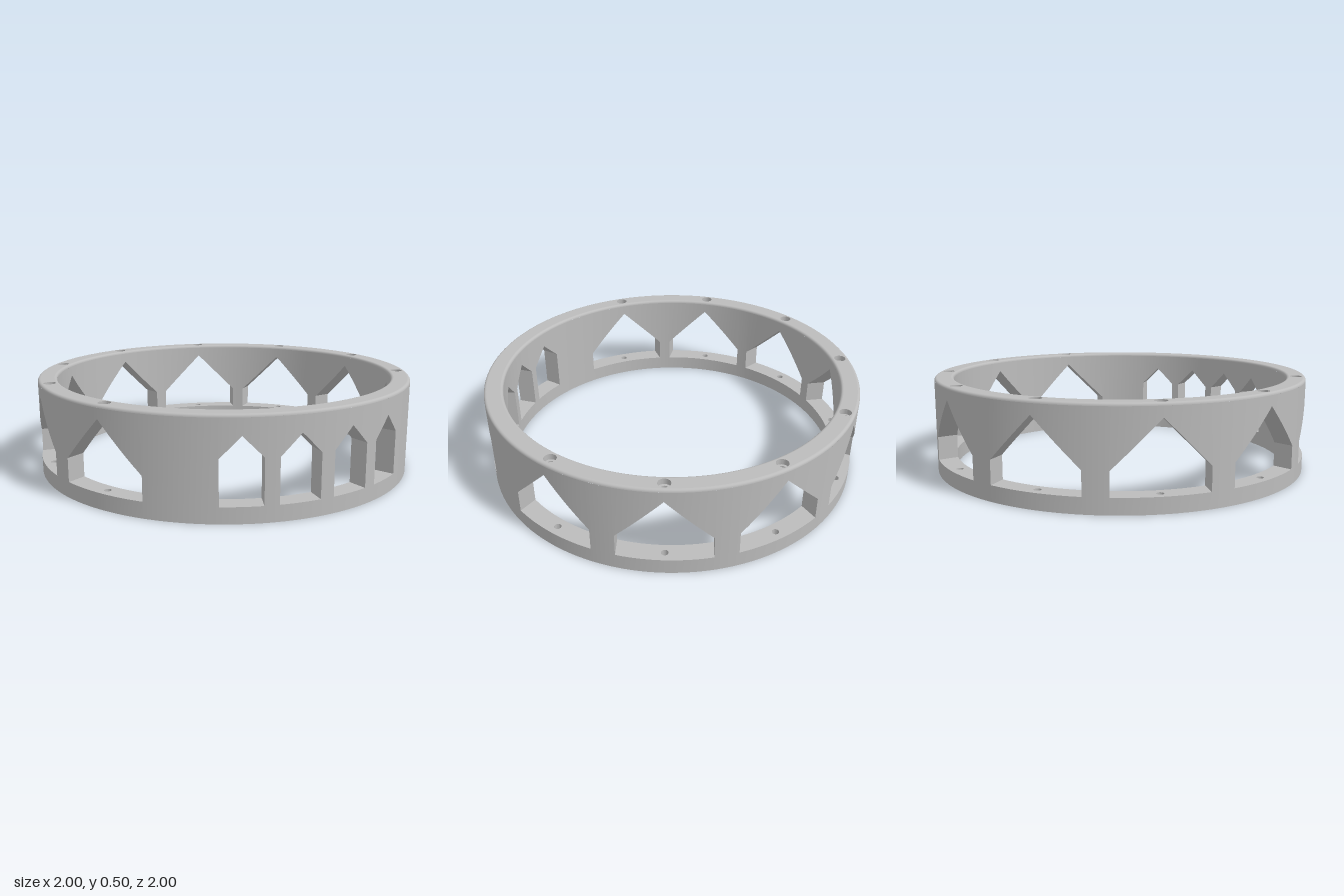
import * as THREE from 'three';
import { toCreasedNormals } from 'three/addons/utils/BufferGeometryUtils.js';

const OUT = 1, IN = 0.9, MID = 0.95, H = 0.496, FILLET = 0.014, SILL = 0.08;
const HOLE = 0.018, BORE = 0.031, NUT = 0.024, STEPS = 24;
const rad = THREE.MathUtils.degToRad, lerp = THREE.MathUtils.lerp;

// Windows round the ring: eight wide ones with screw holes, four narrow ones
const windows = [];
for (let i = 0; i < 4; i++) windows.push({ c: rad(8.8 + 15.5 * i), w: 0.1, spring: 0.3, screw: false });
for (let i = 0; i < 8; i++) windows.push({ c: rad(94.2 + 33.67 * i), w: 0.23, spring: 0.2, screw: true });
const screws = windows.filter((o) => o.screw);

// Point from an angle (0 = front) and from window coordinates (u sideways, v outwards)
const polar = (a, r, y) => [Math.sin(a) * r, y, Math.cos(a) * r];
const local = (c, u, v, y) => [Math.sin(c) * v + Math.cos(c) * u, y, Math.cos(c) * v - Math.sin(c) * u];
const depth = (r, u) => Math.sqrt(r * r - u * u);
const ceiling = (o, u) => o.spring + o.w - Math.abs(u);

// Collects quads, corners counter-clockwise from the visible side
class Faces {
  constructor() { this.p = []; }
  quad(a, b, c, d) { this.p.push(...a, ...b, ...c, ...a, ...c, ...d); }
  geometry() {
    const g = new THREE.BufferGeometry();
    g.setAttribute('position', new THREE.Float32BufferAttribute(this.p, 3));
    return toCreasedNormals(g, 0.5);
  }
}

// Sideways sample positions across a window
function samples(o) {
  const us = new Set();
  for (let i = 0; i <= 12; i++) {
    const u = o.w * (i / 6 - 1);
    if (!o.screw || Math.abs(u) > HOLE) us.add(u);
  }
  if (o.screw) for (let k = -6; k <= 6; k++) us.add(HOLE * Math.sin(rad(k * 15)));
  return [...us].sort((a, b) => a - b);
}

// Outer and inner wall strip between two columns { o: outer angle, i: inner angle }
function wallStrip(f, a, b, a0, a1, b0, b1) {
  f.quad(polar(a.o, OUT, a0), polar(b.o, OUT, b0), polar(b.o, OUT, b1), polar(a.o, OUT, a1));
  f.quad(polar(b.i, IN, b0), polar(a.i, IN, a0), polar(a.i, IN, a1), polar(b.i, IN, b1));
}
const column = (o, u) => ({ o: o.c + Math.asin(u / OUT), i: o.c + Math.asin(u / IN) });

function buildWalls() {
  const f = new Faces(), top = H - FILLET;
  windows.forEach((o, n) => {
    const us = samples(o);
    for (let k = 0; k < us.length - 1; k++) {
      const a = column(o, us[k]), b = column(o, us[k + 1]);
      wallStrip(f, a, b, 0, SILL, 0, SILL);
      wallStrip(f, a, b, ceiling(o, us[k]), top, ceiling(o, us[k + 1]), top);
    }
    // solid pier up to the next window
    const next = windows[(n + 1) % windows.length], turn = n === windows.length - 1 ? 2 * Math.PI : 0;
    const s = column(o, o.w), e = column(next, -next.w);
    const mix = (t) => ({ o: lerp(s.o, e.o + turn, t), i: lerp(s.i, e.i + turn, t) });
    for (let k = 0; k < 6; k++) wallStrip(f, mix(k / 6), mix((k + 1) / 6), 0, top, 0, top);
  });
  return f.geometry();
}

// Sill, sloped ceiling and jambs of one window, leaving the screw hole open
function buildReveal(o) {
  const f = new Faces(), us = samples(o), c = o.c;
  const strip = (a, b, vin, vout) => {
    const ya = ceiling(o, a), yb = ceiling(o, b);
    f.quad(local(c, a, vin(a), ya), local(c, b, vin(b), yb), local(c, b, vout(b), yb), local(c, a, vout(a), ya));
    f.quad(local(c, a, vout(a), SILL), local(c, b, vout(b), SILL), local(c, b, vin(b), SILL), local(c, a, vin(a), SILL));
  };
  const inner = (u) => depth(IN, u), outer = (u) => depth(OUT, u);
  const half = (u) => Math.sqrt(Math.max(0, HOLE * HOLE - u * u));
  for (let k = 0; k < us.length - 1; k++) {
    const a = us[k], b = us[k + 1];
    if (o.screw && Math.abs((a + b) / 2) < HOLE) {
      strip(a, b, inner, (u) => MID - half(u));
      strip(a, b, (u) => MID + half(u), outer);
    } else strip(a, b, inner, outer);
  }
  const corner = (u, v, y) => local(c, u, v(u), y), w = o.w;
  f.quad(corner(-w, outer, SILL), corner(-w, inner, SILL), corner(-w, inner, o.spring), corner(-w, outer, o.spring));
  f.quad(corner(w, inner, SILL), corner(w, outer, SILL), corner(w, outer, o.spring), corner(w, inner, o.spring));
  return f.geometry();
}

// Radius of the round bores and of the six-sided nut pocket at an angle
const round = (r) => () => r;
const hex = (a) => NUT / Math.cos((((a % (Math.PI / 3)) + Math.PI / 3) % (Math.PI / 3)) - Math.PI / 6);
const around = (c, r, k, y) => {
  const a = (k % STEPS) * 2 * Math.PI / STEPS + 1e-9;
  return local(c, r(a) * Math.sin(a), MID + r(a) * Math.cos(a), y);
};

// Counterbored hole through the rim and a hole with nut pocket through the base
function buildScrewHole(o) {
  const f = new Faces(), c = o.c, shelf = H - 0.03, pocket = 0.035;
  const hole = round(HOLE), bore = round(BORE);
  const under = (k) => ceiling(o, HOLE * Math.sin(k * 2 * Math.PI / STEPS));
  for (let k = 0; k < STEPS; k++) {
    const n = k + 1;
    const wall = (r, k0, n0, y1) =>
      f.quad(around(c, r, n, n0), around(c, r, k, k0), around(c, r, k, y1), around(c, r, n, y1));
    wall(hole, under(k), under(n), shelf);
    wall(bore, shelf, shelf, H);
    wall(hole, pocket, pocket, SILL);
    wall(hex, 0, 0, pocket);
    f.quad(around(c, bore, k, shelf), around(c, bore, n, shelf), around(c, hole, n, shelf), around(c, hole, k, shelf));
    f.quad(around(c, hole, k, pocket), around(c, hole, n, pocket), around(c, hex, n, pocket), around(c, hex, k, pocket));
  }
  return f.geometry();
}

// Flat ring with the screw openings, facing up (side 1) or down (side -1)
function buildRing(rIn, rOut, r, side, y) {
  const shape = new THREE.Shape().absarc(0, 0, rOut, 0, 2 * Math.PI);
  shape.holes.push(new THREE.Path().absarc(0, 0, rIn, 0, 2 * Math.PI, true));
  for (const o of screws) {
    const pts = [];
    for (let k = 0; k < STEPS; k++) {
      const p = around(o.c, r, k, 0);
      pts.push(new THREE.Vector2(p[0], -side * p[2]));
    }
    shape.holes.push(new THREE.Path(pts));
  }
  return new THREE.ShapeGeometry(shape, 80).rotateX(-side * Math.PI / 2).translate(0, y, 0);
}

// Rounded edge from angle a0 to a1 about a centre radius
function buildFillet(r, a0, a1) {
  const pts = [];
  for (let k = 0; k <= 5; k++) {
    const a = lerp(a0, a1, k / 5);
    pts.push(new THREE.Vector2(r + FILLET * Math.cos(a), H - FILLET + FILLET * Math.sin(a)));
  }
  return new THREE.LatheGeometry(pts, 160);
}

export function createModel() {
  const group = new THREE.Group();
  group.name = 'windowedRing';
  const grey = new THREE.MeshStandardMaterial({ color: 0xbcbcbc });
  grey.name = 'grey';
  const add = (name, geometry) => {
    const m = new THREE.Mesh(geometry, grey);
    m.name = name;
    group.add(m);
  };
  add('walls', buildWalls());
  add('topRim', buildRing(IN + FILLET, OUT - FILLET, round(BORE), 1, H));
  add('bottomRim', buildRing(IN, OUT, hex, -1, 0));
  add('outerRimEdge', buildFillet(OUT - FILLET, 0, Math.PI / 2));
  add('innerRimEdge', buildFillet(IN + FILLET, Math.PI / 2, Math.PI));
  windows.forEach((o) => add(o.screw ? 'wideWindowReveal' : 'narrowWindowReveal', buildReveal(o)));
  screws.forEach((o) => add('screwHole', buildScrewHole(o)));
  return group;
}
